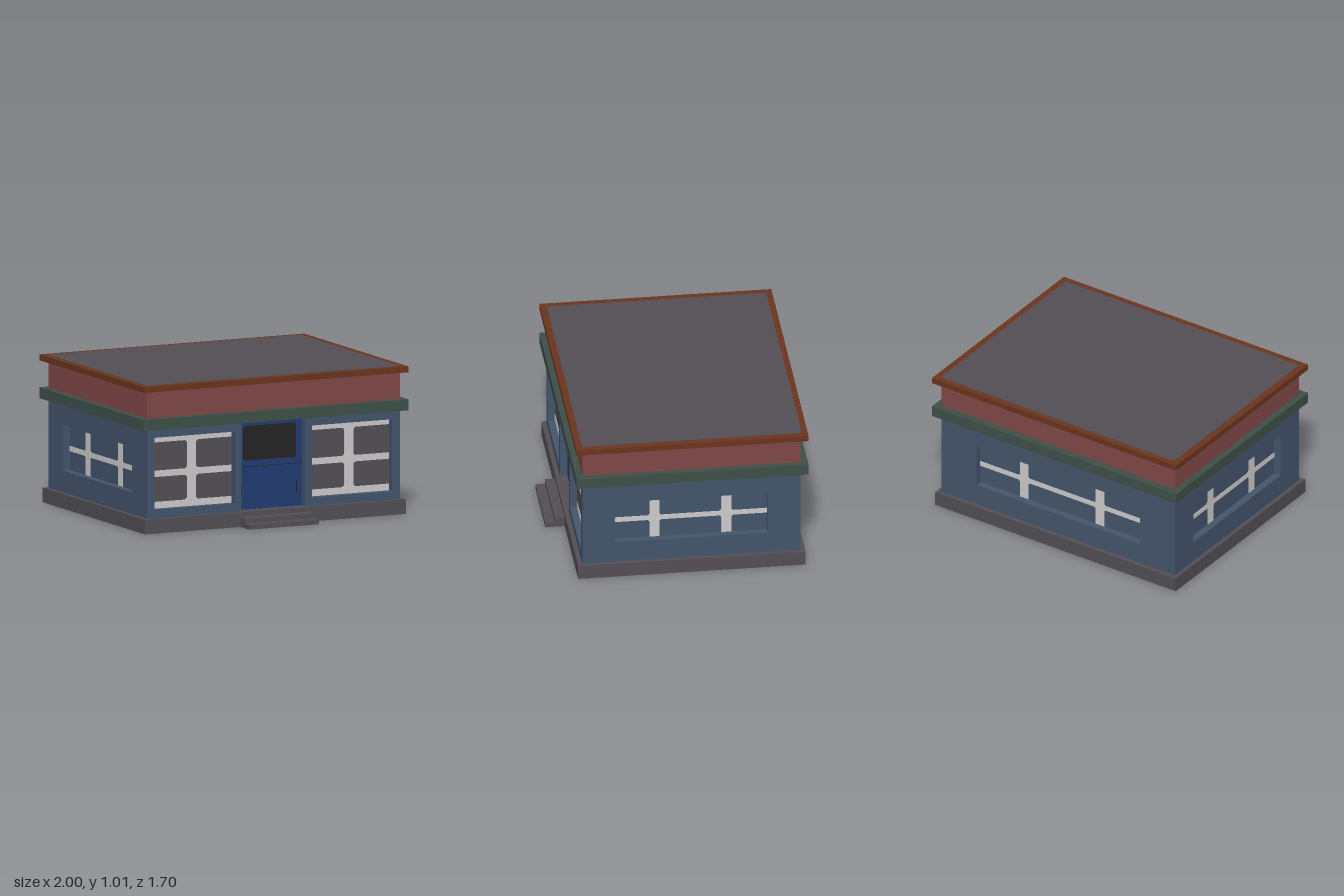
import * as THREE from 'three';

const paint = (name, color) => {
  const m = new THREE.MeshStandardMaterial({ color, side: THREE.DoubleSide });
  m.name = name;
  return m;
};

export function createModel() {
  const stone = paint('greyStone', 0x524e55);
  const blue = paint('slateBlue', 0x43546b);
  const red = paint('brickRed', 0x804747);
  const green = paint('darkGreen', 0x3e4f48);
  const brown = paint('rustBrown', 0x6b341e);
  const doorBlue = paint('doorBlue', 0x213b72);
  const black = paint('darkGlass', 0x232323);
  const white = paint('offWhite', 0xcccaca);

  const model = new THREE.Group();
  model.name = 'shop';

  const add = (parent, name, geometry, material) => {
    const mesh = new THREE.Mesh(geometry, material);
    mesh.name = name;
    parent.add(mesh);
    return mesh;
  };

  // Open skin through a stack of four-cornered loops
  const skin = (loops) => {
    const pos = [];
    for (let i = 0; i + 1 < loops.length; i++) {
      for (let k = 0; k < 4; k++) {
        const a = loops[i][k], b = loops[i][(k + 1) % 4];
        const c = loops[i + 1][(k + 1) % 4], d = loops[i + 1][k];
        pos.push(...a, ...b, ...c, ...a, ...c, ...d);
      }
    }
    const g = new THREE.BufferGeometry();
    g.setAttribute('position', new THREE.Float32BufferAttribute(pos, 3));
    g.computeVertexNormals();
    return g;
  };
  // Horizontal loop: half width, front z, back z, height
  const ring = (x, zf, zb, y) => [[-x, y, zf], [x, y, zf], [x, y, zb], [-x, y, zb]];
  // Upright loop in a wall's own frame
  const frame = (x0, x1, y0, y1, z) => [[x0, y0, z], [x1, y0, z], [x1, y1, z], [x0, y1, z]];

  const polygon = (pts) => new THREE.Shape(pts.map(([x, y]) => new THREE.Vector2(x, y)));
  const rect = (x0, x1, y0, y1) => polygon([[x0, y0], [x1, y0], [x1, y1], [x0, y1]]);
  const clipped = (x0, x1, y0, y1, c) => polygon([
    [x0 + c, y0], [x1 - c, y0], [x1, y0 + c], [x1, y1 - c],
    [x1 - c, y1], [x0 + c, y1], [x0, y1 - c], [x0, y0 + c]]);
  // Thin plate standing through the plane z, seen from both sides
  const plate = (shape, z, t = 0.006) =>
    new THREE.ExtrudeGeometry(shape, { depth: t, bevelEnabled: false }).translate(0, 0, z - t / 2);

  // Horizontal tiers: plinth, cornice, fascia and roof edge
  const W = 0.955, ZF = 0.686, ZB = -0.8;
  add(model, 'plinth', skin([ring(0.985, 0.718, -0.832, 0),
    ring(0.985, 0.718, -0.832, 0.1), ring(W, ZF, ZB, 0.1)]), stone);
  add(model, 'cornice', skin([ring(W, ZF, ZB, 0.71), ring(1, 0.73, -0.85, 0.71),
    ring(1, 0.73, -0.85, 0.785), ring(W, ZF, ZB, 0.785)]), green);
  add(model, 'fascia', skin([ring(W, ZF, ZB, 0.785), ring(W, ZF, ZB, 0.97)]), red);
  add(model, 'roofEdge', skin([ring(W, ZF, ZB, 0.97), ring(1, 0.73, -0.85, 0.97),
    ring(1, 0.73, -0.85, 1.01), ring(0.94, 0.67, -0.79, 1.01)]), brown);
  const roof = add(model, 'roof', plate(clipped(-W, W, -0.687, 0.81, 0.014), 0, 0.004), stone);
  roof.rotation.x = -Math.PI / 2;
  roof.position.y = 1.01;

  // Entrance steps
  const S = 0.265, SB = 0.717;
  add(model, 'steps', skin([ring(S, 0.85, SB, 0), ring(S, 0.85, SB, 0.033),
    ring(S, 0.785, SB, 0.033), ring(S, 0.785, SB, 0.067), ring(S, SB, SB, 0.067)]), stone);

  // Wall with recessed openings [x0, x1, y0, y1], in a frame facing +z
  const DEPTH = 0.05;
  const makeWall = (name, half, openings, angle, x, z) => {
    const wall = new THREE.Group();
    wall.name = name;
    wall.rotation.y = angle;
    wall.position.set(x, 0, z);
    const shape = rect(-half, half, 0.1, 0.71);
    for (const o of openings) {
      shape.holes.push(rect(...o));
      add(wall, 'reveal', skin([frame(...o, 0), frame(...o, -DEPTH)]), blue);
    }
    add(wall, 'wallFace', new THREE.ShapeGeometry(shape), blue);
    model.add(wall);
    return wall;
  };

  // Pane with crossing bars; bars are given as [start, end]
  const glaze = (wall, o, glass, uprights, rails, c) => {
    const [x0, x1, y0, y1] = o;
    add(wall, 'pane', new THREE.ShapeGeometry(rect(...o)).translate(0, 0, -DEPTH), glass);
    for (const [a, b] of uprights) add(wall, 'upright', plate(rect(a, b, y0, y1), -DEPTH), white);
    for (const [p, q] of rails) {
      add(wall, 'rail', plate(rect(x0, x1, p, q), -DEPTH), white);
      // Softened corners where the bars cross
      for (const [a, b] of uprights) {
        const lo = Math.max(p - c, y0), hi = Math.min(q + c, y1);
        add(wall, 'joint', plate(polygon([[a, lo], [b, lo], [b + c, p], [b + c, q],
          [b, hi], [a, hi], [a - c, q], [a - c, p]]), -DEPTH, 0.007), white);
      }
    }
  };

  // Front wall: shop window, doorway, shop window
  const doorway = [-0.24, 0.24, 0.1, 0.71];
  const shopWindows = [-1, 1].map((s) => [s * 0.594 - 0.303, s * 0.594 + 0.303, 0.157, 0.65]);
  const front = makeWall('frontWall', W, [doorway, ...shopWindows], 0, 0, ZF);
  for (const o of shopWindows) {
    const mid = (o[0] + o[1]) / 2;
    glaze(front, o, stone, [[mid - 0.034, mid + 0.034]],
      [[0.157, 0.203], [0.373, 0.417], [0.61, 0.65]], 0.014);
  }

  // Door
  add(front, 'door', new THREE.ShapeGeometry(rect(...doorway)).translate(0, 0, -DEPTH), doorBlue);
  add(front, 'doorGlass', plate(clipped(-0.205, 0.195, 0.437, 0.673, 0.012), -DEPTH), black);
  add(front, 'doorSeam', plate(rect(-0.24, 0.24, 0.392, 0.396), -DEPTH), black);
  for (const x of [-0.215, 0.2]) {
    add(front, 'doorHandle', plate(rect(x - 0.003, x + 0.003, 0.19, 0.275), -DEPTH), black);
  }
  const sill = add(front, 'threshold', new THREE.BoxGeometry(0.48, 0.004, DEPTH), stone);
  sill.position.set(0, 0.1, -DEPTH / 2);

  // Side and back walls, each with one wide window
  const midZ = (ZF + ZB) / 2, halfZ = (ZF - ZB) / 2;
  const plainWalls = [
    ['leftWall', halfZ, 0.52, 0.245, Math.PI / 2, W, midZ],
    ['rightWall', halfZ, 0.52, 0.245, -Math.PI / 2, -W, midZ],
    ['backWall', W, 0.67, 0.31, Math.PI, 0, ZB],
  ];
  for (const [name, half, w, bar, angle, x, z] of plainWalls) {
    const o = [-w, w, 0.25, 0.56];
    const wall = makeWall(name, half, [o], angle, x, z);
    glaze(wall, o, blue, [-bar, bar].map((u) => [u - 0.035, u + 0.035]), [[0.38, 0.416]], 0.01);
  }

  return model;
}
